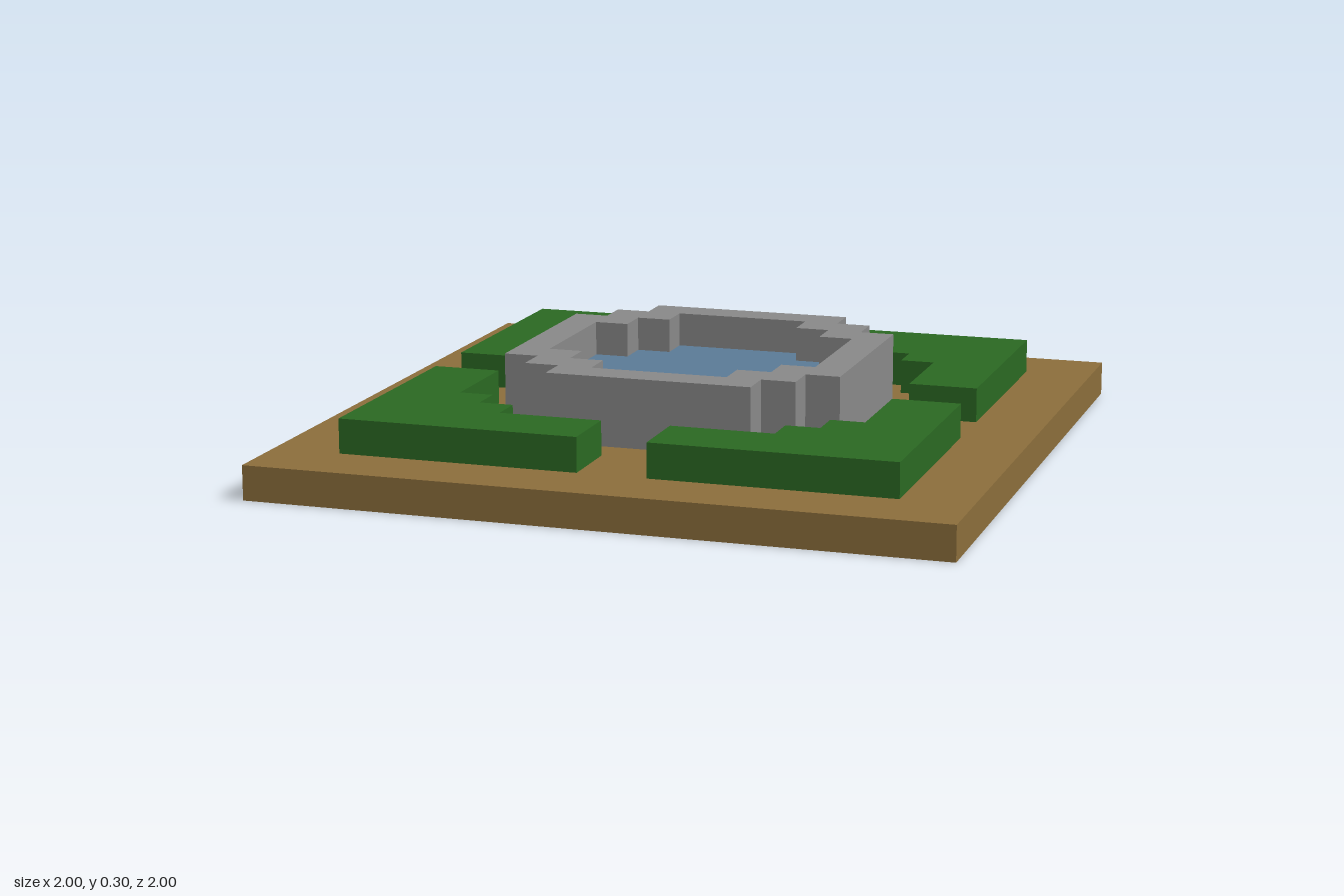
import * as THREE from 'three';

const soil = new THREE.MeshStandardMaterial({ color: 0x8b6d3b });
soil.name = 'soil';
const leaf = new THREE.MeshStandardMaterial({ color: 0x2a6822 });
leaf.name = 'leaf';
const stone = new THREE.MeshStandardMaterial({ color: 0x888888 });
stone.name = 'stone';
const waterBlue = new THREE.MeshStandardMaterial({ color: 0x5a7a96 });
waterBlue.name = 'waterBlue';

const toVectors = (pts) => pts.map(([x, y]) => new THREE.Vector2(x, y));

// Stepped round outline with its widest extent r, in steps of 0.1
function steppedOutline(r) {
  const quarter = [[r, r - 0.2], [r - 0.1, r - 0.2], [r - 0.1, r - 0.1],
    [r - 0.2, r - 0.1], [r - 0.2, r]];
  const pts = [];
  for (let i = 0; i < 4; i++) {
    for (let [x, y] of quarter) {
      for (let k = 0; k < i; k++) [x, y] = [-y, x];
      pts.push([x, y]);
    }
    // turning by 90 degrees keeps the outline continuous
  }
  return toVectors(pts);
}

// Flat plan raised from height y0 to y1
function slab(name, shape, y0, y1, material) {
  const geo = new THREE.ExtrudeGeometry(shape, { depth: y1 - y0, bevelEnabled: false });
  geo.rotateX(-Math.PI / 2);
  geo.translate(0, y0, 0);
  const mesh = new THREE.Mesh(geo, material);
  mesh.name = name;
  return mesh;
}

export function createModel() {
  const model = new THREE.Group();
  model.name = 'fountainGarden';

  // Square ground
  const ground = new THREE.Mesh(new THREE.BoxGeometry(2, 0.1, 2), soil);
  ground.name = 'ground';
  ground.position.y = 0.05;
  model.add(ground);

  // Corner hedges, mirrored into all four quadrants
  const hedgePlan = [[0.1, 0.8], [0.1, 0.6], [0.4, 0.6], [0.4, 0.5], [0.5, 0.5],
    [0.5, 0.4], [0.6, 0.4], [0.6, 0.1], [0.8, 0.1], [0.8, 0.8]];
  const hedges = new THREE.Group();
  hedges.name = 'hedges';
  for (const sx of [1, -1]) {
    for (const sz of [1, -1]) {
      const shape = new THREE.Shape(toVectors(hedgePlan.map(([x, z]) => [sx * x, -sz * z])));
      const name = (sz > 0 ? 'front' : 'back') + (sx > 0 ? 'Left' : 'Right') + 'Hedge';
      hedges.add(slab(name, shape, 0.1, 0.2, leaf));
    }
  }
  model.add(hedges);

  // Stone basin wall, open in the middle
  const ring = new THREE.Shape(steppedOutline(0.5));
  ring.holes.push(new THREE.Path(steppedOutline(0.4)));
  model.add(slab('basinWall', ring, 0.1, 0.3, stone));

  // Water filling the basin halfway
  model.add(slab('water', new THREE.Shape(steppedOutline(0.4)), 0.1, 0.2, waterBlue));

  return model;
}
